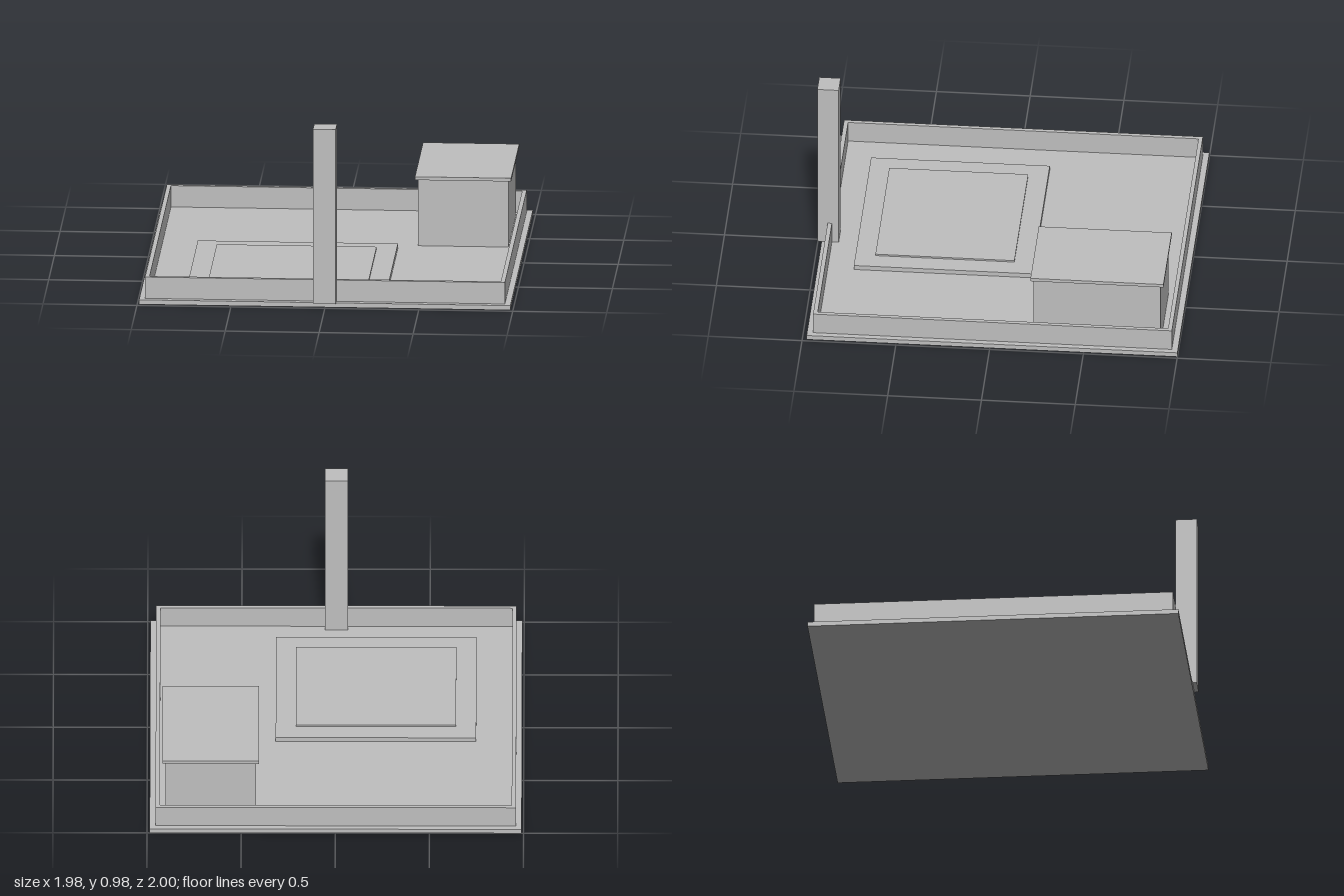
import * as THREE from 'three';

export function createModel() {
  const model = new THREE.Group();
  const grey = new THREE.MeshStandardMaterial({ color: 0xbfbfbf });
  grey.name = 'plain grey';

  // Box given by its [min, max] extent on each axis
  function block(name, [x0, x1], [y0, y1], [z0, z1]) {
    const mesh = new THREE.Mesh(new THREE.BoxGeometry(x1 - x0, y1 - y0, z1 - z0), grey);
    mesh.position.set((x0 + x1) / 2, (y0 + y1) / 2, (z0 + z1) / 2);
    mesh.name = name;
    model.add(mesh);
  }

  // Closed rectangle, drawn with y = -z so the extrusion can be laid flat
  function rectangle(Type, [x0, x1], [z0, z1]) {
    return new Type([[x0, -z1], [x1, -z1], [x1, -z0], [x0, -z0]].map(([x, y]) => new THREE.Vector2(x, y)));
  }

  // Ground slab
  block('groundSlab', [-0.99, 0.986], [0, 0.025], [-1, 0.977]);

  // Low perimeter wall: a rectangular ring
  const ring = rectangle(THREE.Shape, [-0.96, 0.955], [-0.968, 0.945]);
  ring.holes.push(rectangle(THREE.Path, [-0.937, 0.932], [-0.946, 0.922]));
  const wallGeometry = new THREE.ExtrudeGeometry(ring, { depth: 0.117, bevelEnabled: false });
  wallGeometry.rotateX(-Math.PI / 2);
  const wall = new THREE.Mesh(wallGeometry, grey);
  wall.position.y = 0.025;
  wall.name = 'perimeterWall';
  model.add(wall);

  // Tall pillar at the front
  block('frontPillar', [-0.063, 0.058], [0.025, 0.983], [0.886, 1]);

  // Small building with an overhanging flat roof
  block('buildingWalls', [0.422, 0.902], [0.025, 0.39], [-0.903, -0.227]);
  block('buildingRoof', [0.406, 0.918], [0.39, 0.408], [-0.92, -0.211]);

  // Raised terrace with a thin inset panel on top
  block('terrace', [-0.747, 0.318], [0.025, 0.05], [-0.17, 0.783]);
  block('terracePanel', [-0.64, 0.211], [0.05, 0.059], [-0.064, 0.677]);

  return model;
}
